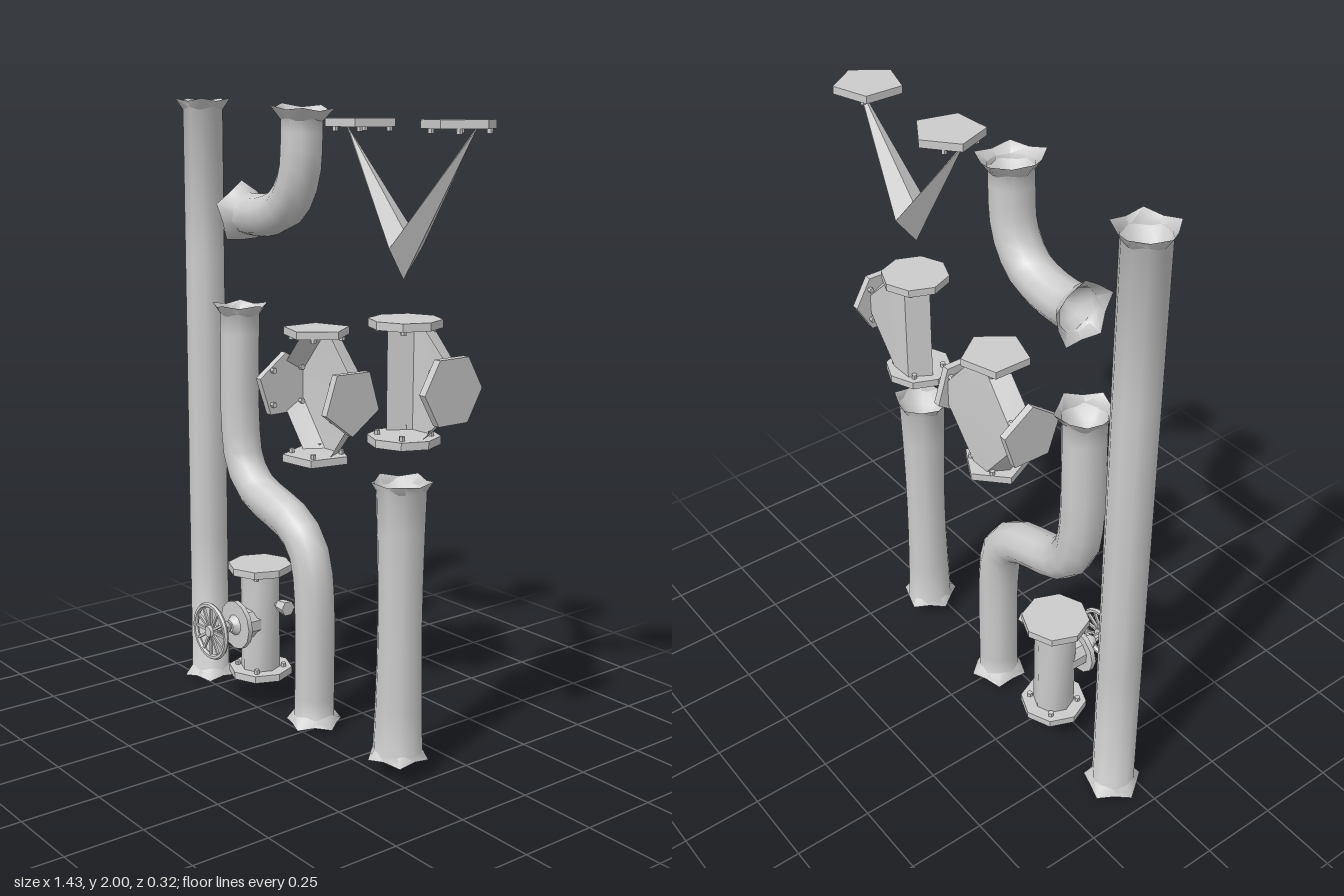
import * as THREE from 'three';
import { toCreasedNormals } from 'three/addons/utils/BufferGeometryUtils.js';
import { ConvexGeometry } from 'three/addons/geometries/ConvexGeometry.js';

const Z = -0.055; // depth plane shared by all pipe axes
const V = (x, y, z = Z) => new THREE.Vector3(x, y, z);

export function createModel() {
  const root = new THREE.Group();
  const metal = new THREE.MeshStandardMaterial({ color: 0xcccccc, side: THREE.DoubleSide });

  function add(parent, name, geo, pos = [0, 0, 0], crease = 0.6) {
    const m = new THREE.Mesh(toCreasedNormals(geo, crease), metal);
    m.name = name;
    m.position.set(...pos);
    parent.add(m);
    return m;
  }
  function group(name) {
    const g = new THREE.Group();
    g.name = name;
    root.add(g);
    return g;
  }

  // Pipe swept along a path in the xy plane, with pentagonal flared rims and recessed ends.
  // waist narrows the middle of the pipe.
  function pipe(name, pts, r, steps, rimRadius = 0.094, waist = 0) {
    const sides = 10, pos = [], idx = [];
    const curve = new THREE.CatmullRomCurve3(pts, false, 'centripetal');
    const len = curve.getLength(), lip = 0.022 / len;
    // each station: position along the path, radius, rim flag
    const stations = [[0.09 / len, 0.001, 0], [0.06 / len, r * 0.7, 0], [0, rimRadius, 1], [lip, r, 0]];
    for (let i = 1; i < steps; i++) {
      const t = i / steps;
      stations.push([lip + (1 - 2 * lip) * t, r - waist * Math.sin(t * Math.PI), 0]);
    }
    stations.push([1 - lip, r, 0], [1, rimRadius, 1], [1 - 0.06 / len, r * 0.7, 0], [1 - 0.09 / len, 0.001, 0]);
    stations.forEach(([u, rad, rim], s) => {
      const p = curve.getPointAt(u), t = curve.getTangentAt(u);
      const n = new THREE.Vector3(-t.y, t.x, 0);
      for (let j = 0; j < sides; j++) {
        const a = j / sides * Math.PI * 2;
        const rr = rim && j % 2 ? rad * 0.83 : rad;
        const jag = rim ? (j % 2 ? -0.004 : 0.005) * (u > 0.5 ? 1 : -1) : 0;
        const v = p.clone().addScaledVector(n, Math.cos(a) * rr).addScaledVector(t, jag);
        pos.push(v.x, v.y, v.z + Math.sin(a) * rr);
        if (s) {
          const k = (j + 1) % sides, b = s * sides, c = b - sides;
          idx.push(c + j, c + k, b + j, c + k, b + k, b + j);
        }
      }
    });
    const g = new THREE.BufferGeometry();
    g.setAttribute('position', new THREE.Float32BufferAttribute(pos, 3));
    g.setIndex(idx);
    add(root, name, g, [0, 0, 0], 1.0);
  }

  // Polygonal flange plate with bolts on its inner face; angle turns it about z
  function flange(parent, x, y, angle, sides = 5, spin = 0) {
    const f = new THREE.Group();
    f.name = 'flange';
    add(f, 'flangePlate', new THREE.CylinderGeometry(0.107, 0.107, 0.024, sides).rotateY(spin));
    for (let i = 0; i < 4; i++) {
      const a = Math.PI / 4 + i * Math.PI / 2;
      add(f, 'bolt', new THREE.CylinderGeometry(0.009, 0.009, 0.014, 6),
        [Math.cos(a) * 0.078, -0.018, Math.sin(a) * 0.078]);
    }
    f.position.set(x, y, Z);
    f.rotation.z = angle;
    parent.add(f);
  }

  // Rear half-ring of points around a port, facing along x or y
  function port(x, y, r, alongX) {
    return [0, 1, 2, 3].map(i => {
      const c = Math.cos(i * Math.PI / 3) * r, s = -Math.sin(i * Math.PI / 3) * r;
      return alongX ? V(x, y + c, Z + s) : V(x + c, y, Z + s);
    });
  }

  // Fitting body: a shell around the rear halves of its ports, open at the front
  function shell(parent, name, points) {
    const p = new ConvexGeometry(points).getAttribute('position'), kept = [];
    for (let i = 0; i < p.count; i += 3) {
      const tri = [0, 1, 2].map(k => new THREE.Vector3().fromBufferAttribute(p, i + k));
      if (tri.some(v => v.z < Z - 0.001)) tri.forEach(v => kept.push(v.x, v.y, v.z));
    }
    const g = new THREE.BufferGeometry();
    g.setAttribute('position', new THREE.Float32BufferAttribute(kept, 3));
    add(parent, name, g);
  }

  // Plain, offset and elbow pipes
  pipe('longPipe', [V(-0.61, 0.006), V(-0.61, 1.0), V(-0.61, 1.994)], 0.068, 4);
  pipe('shortPipe', [V(0.41, 0.062, -0.048), V(0.412, 0.5, -0.048), V(0.41, 0.915, -0.048)], 0.077, 6, 0.096, 0.009);
  pipe('offsetPipe', [V(-0.41, 1.34), V(-0.41, 0.92), V(-0.385, 0.81), V(-0.315, 0.735), V(-0.2, 0.695),
    V(-0.1, 0.655), V(-0.035, 0.58), V(-0.012, 0.46), V(-0.01, 0.025)], 0.067, 22);
  pipe('elbowPipe', [V(-0.388, 1.64), V(-0.26, 1.64), V(-0.155, 1.675), V(-0.09, 1.77), V(-0.074, 1.972)], 0.067, 10, 0.103);

  // V-shaped bend tapering up to two flange plates
  const bend = group('vBend');
  flange(bend, 0.21, 1.932, 0, 5, Math.PI / 2 + 0.38);
  flange(bend, 0.617, 1.932, 0, 5, Math.PI / 2);
  const middle = [V(0.41, 1.5, -0.045), V(0.41, 1.59, 0.01), V(0.41, 1.63, -0.05), V(0.41, 1.59, -0.116)];
  for (const s of [-1, 1]) {
    const tip = V(0.41 + s * 0.27, 1.92);
    add(bend, 'bendArm', new ConvexGeometry([...middle, tip, V(tip.x - s * 0.005, 1.92)]));
  }

  // Four-way cross
  const cross = group('crossFitting');
  shell(cross, 'crossBody', [
    ...port(0, 1.29, 0.07, false), ...port(0, 0.92, 0.07, false),
    ...port(-0.16, 1.11, 0.075, true), ...port(0.16, 1.11, 0.075, true)]);
  flange(cross, 0, 1.302, 0, 5, Math.PI / 2);
  flange(cross, 0, 0.908, Math.PI, 5, 0.5);
  flange(cross, -0.167, 1.11, Math.PI / 2, 5, 0.3);
  flange(cross, 0.167, 1.11, -Math.PI / 2, 5, 0.3);

  // Three-way tee
  const tee = group('teeFitting');
  shell(tee, 'teeBody', [
    ...port(0.41, 1.37, 0.078, false), ...port(0.41, 1.05, 0.078, false), ...port(0.59, 1.21, 0.065, true)]);
  flange(tee, 0.41, 1.378, 0, 8);
  flange(tee, 0.41, 1.04, Math.PI, 8);
  flange(tee, 0.604, 1.21, -Math.PI / 2, 6);

  // Valve with handwheel
  const valve = group('valve');
  const vx = -0.307, vy = 0.288;
  add(valve, 'valveBody', new THREE.CylinderGeometry(0.066, 0.066, 0.36, 8), [vx, vy, Z], 1);
  flange(valve, vx, 0.471, 0, 8);
  flange(valve, vx, 0.109, Math.PI, 8);
  const axial = (name, r1, r2, h, z, n = 10) =>
    add(valve, name, new THREE.CylinderGeometry(r1, r2, h, n).rotateX(Math.PI / 2), [vx, vy, z]);
  axial('bonnetNeck', 0.055, 0.055, 0.08, 0);
  axial('bonnetPlate', 0.082, 0.082, 0.016, 0.042, 12);
  axial('stem', 0.012, 0.012, 0.11, 0.095, 8);
  axial('stemCollar', 0.02, 0.035, 0.02, 0.06);
  axial('wheelHub', 0.018, 0.026, 0.024, 0.146);
  add(valve, 'stemNut', new THREE.SphereGeometry(0.023, 8, 6), [vx, vy, 0.092]);
  add(valve, 'wheelRim', new THREE.TorusGeometry(0.088, 0.009, 6, 20), [vx, vy, 0.145], 1);
  for (let i = 0; i < 12; i++) {
    const spoke = add(valve, 'wheelSpoke', new THREE.BoxGeometry(0.075, 0.008, 0.008).translate(0.05, 0, 0), [vx, vy, 0.145]);
    spoke.rotation.z = i * Math.PI / 6;
  }

  // Small side bleed knob
  add(valve, 'bleedStem', new THREE.CylinderGeometry(0.006, 0.006, 0.03, 6).rotateZ(Math.PI / 2), [-0.207, 0.362, Z]);
  add(valve, 'bleedKnob', new THREE.CylinderGeometry(0.026, 0.02, 0.046, 6).rotateZ(-Math.PI / 2), [-0.172, 0.367, Z]);

  return root;
}
